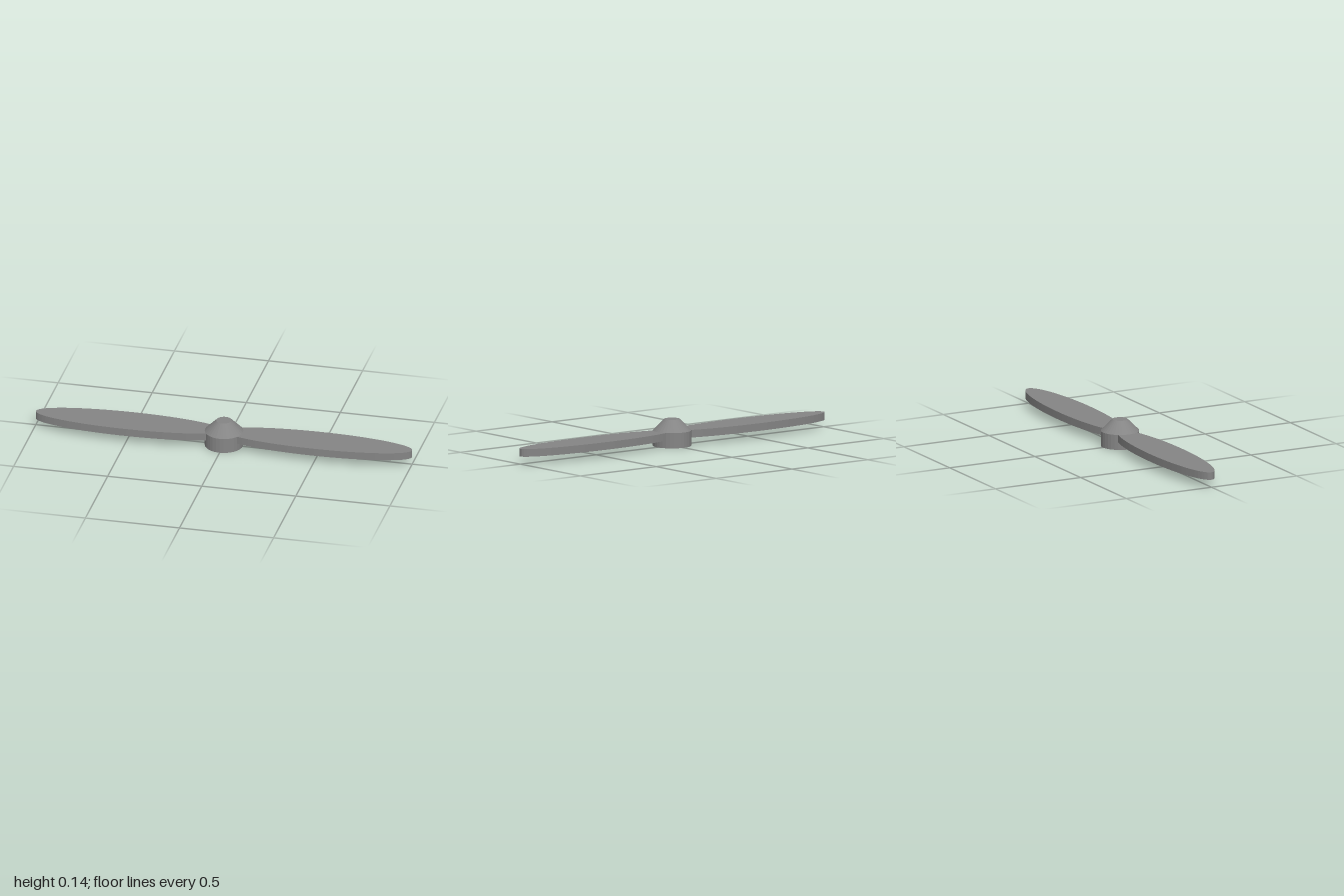
import * as THREE from 'three';

export function createModel() {
  const group = new THREE.Group();
  const material = new THREE.MeshStandardMaterial({ color: 0x858585, flatShading: true });

  const add = (name, geometry, x, y) => {
    const mesh = new THREE.Mesh(geometry, material);
    mesh.name = name;
    mesh.position.set(x, y, 0);
    group.add(mesh);
  };

  // Hub: straight drum with a truncated cone on top
  const profile = [[0, 0], [0.1, 0], [0.1, 0.08], [0.04, 0.14], [0, 0.14]];
  add('hub', new THREE.LatheGeometry(profile.map(([r, y]) => new THREE.Vector2(r, y)), 32), 0, 0);

  // Two flat elliptical blades reaching out from the hub centre
  for (const [name, side] of [['leftBlade', 1], ['rightBlade', -1]]) {
    const blade = new THREE.CylinderGeometry(1, 1, 0.04, 64).rotateY(Math.PI / 2).scale(0.5, 1, 0.1);
    add(name, blade, side * 0.5, 0.06);
  }
  return group;
}
